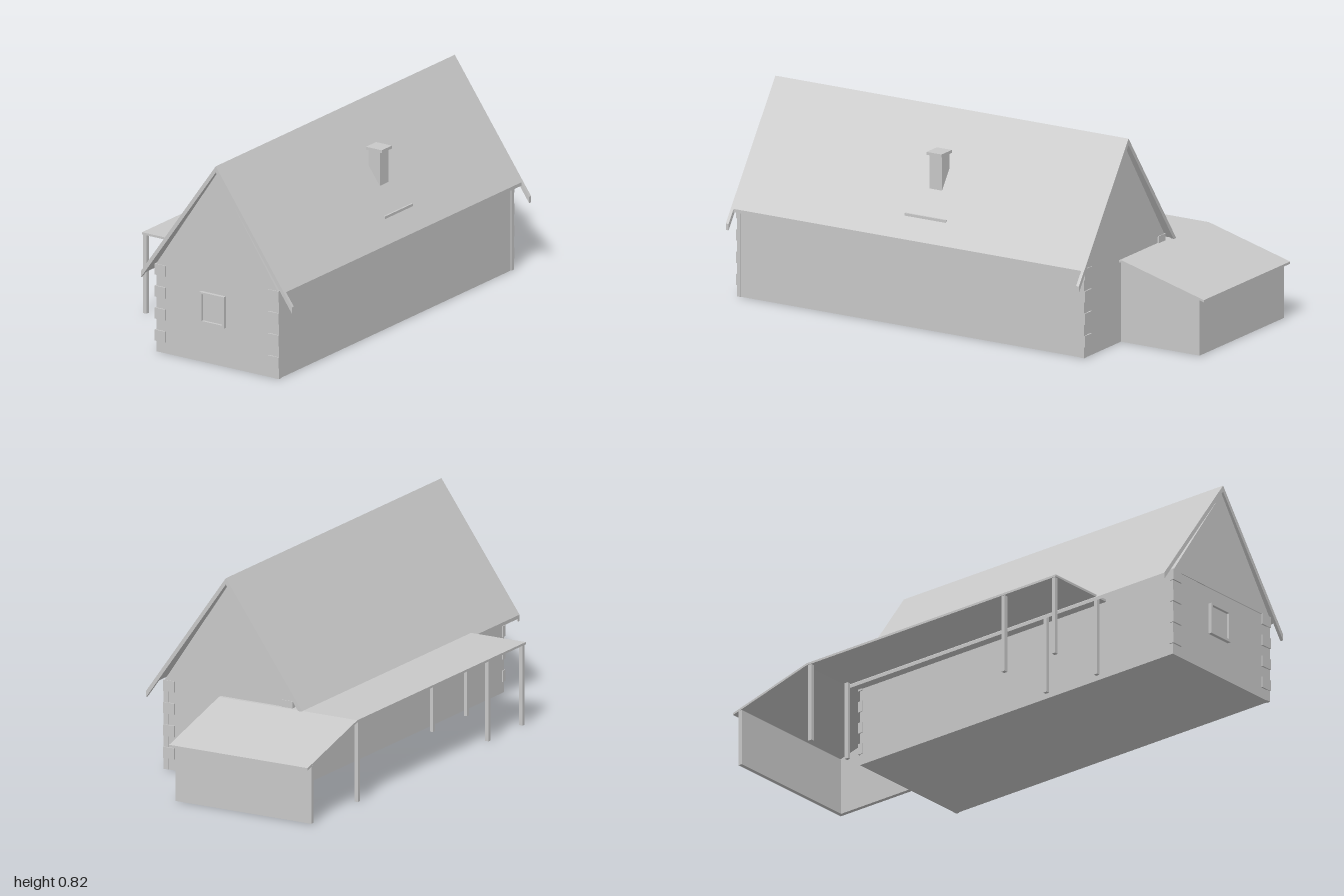
import * as THREE from 'three';

const grey = new THREE.MeshStandardMaterial({ color: 0xc8c8c8 });
grey.name = 'plain grey';

export function createModel() {
  const house = new THREE.Group();
  house.name = 'house';

  const add = (name, geometry) => {
    const mesh = new THREE.Mesh(geometry, grey);
    mesh.name = name;
    house.add(mesh);
    return mesh;
  };
  // Box given by its limits on each axis
  const box = (name, x0, x1, y0, y1, z0, z1) => {
    const mesh = add(name, new THREE.BoxGeometry(x1 - x0, y1 - y0, z1 - z0));
    mesh.position.set((x0 + x1) / 2, (y0 + y1) / 2, (z0 + z1) / 2);
    return mesh;
  };
  // Outline in x,y pushed along z
  const prism = (name, points, z0, z1) => {
    const shape = new THREE.Shape(points.map(([x, y]) => new THREE.Vector2(x, y)));
    const g = new THREE.ExtrudeGeometry(shape, { depth: z1 - z0, bevelEnabled: false });
    g.translate(0, 0, z0);
    return add(name, g);
  };
  // Outline in z,y pushed along x
  const sidePrism = (name, points, x0, x1) => {
    const shape = new THREE.Shape(points.map(([z, y]) => new THREE.Vector2(-z, y)));
    const g = new THREE.ExtrudeGeometry(shape, { depth: x1 - x0, bevelEnabled: false });
    g.rotateY(Math.PI / 2);
    g.translate(x0, 0, 0);
    return add(name, g);
  };

  const ridgeX = 0.115, ridgeY = 0.822, slope = 1.41;
  const left = -0.175, right = 0.405, front = 0.985, back = -0.61, eave = 0.36;

  // Walls and gables
  box('walls', left, right, 0, eave, back, front);
  const gable = [[left, eave], [right, eave], [ridgeX, 0.79]];
  prism('frontGable', gable, front - 0.02, front + 0.003);
  prism('backGable', gable, back - 0.003, back + 0.02);

  // Bent roof slab following both slopes
  const roofY = (x) => ridgeY - Math.abs(x - ridgeX) * slope;
  const roofBand = (name, x0, x1, t, z0, z1) => prism(name, [
    [x0, roofY(x0)], [x0, roofY(x0) - t], [ridgeX, ridgeY - t],
    [x1, roofY(x1) - t], [x1, roofY(x1)], [ridgeX, ridgeY],
  ], z0, z1);
  roofBand('roof', -0.24, 0.44, 0.014, -0.625, 0.99);
  roofBand('frontBargeboards', -0.24, 0.477, 0.026, 0.983, 0.996);
  roofBand('backBargeboards', -0.24, 0.477, 0.026, -0.631, -0.618);

  // Interlocking log ends at the four corners
  for (const sx of [-1, 1]) {
    for (const sz of [-1, 1]) {
      const x = sx < 0 ? left - 0.004 : right + 0.004;
      const z = sz < 0 ? back - 0.006 : front + 0.006;
      for (let i = 0; i < 8; i++) {
        const long = i % 2 === 1;
        const y = i * 0.0453;
        if (!long && sx < 0) continue;
        const xi = x - sx * (long ? 0.05 : 0.02);
        const zi = z - sz * 0.02;
        const zo = long ? z : z - sz * 0.004;
        box('cornerLog', Math.min(x, xi), Math.max(x, xi), y, y + 0.0453,
          Math.min(zo, zi), Math.max(zo, zi));
      }
    }
  }

  // Front window
  box('windowPane', 0.05, 0.15, 0.17, 0.287, front, 0.989);
  box('windowSill', 0.04, 0.156, 0.162, 0.173, front, 1);
  box('windowHead', 0.04, 0.156, 0.284, 0.291, front, 1);
  box('windowJamb', 0.04, 0.05, 0.173, 0.284, front, 1);
  box('windowJamb', 0.147, 0.156, 0.173, 0.284, front, 1);

  // Chimney and snow guard
  box('chimney', 0.258, 0.312, 0.5, 0.683, 0.104, 0.162);
  box('chimneyCap', 0.25, 0.325, 0.683, 0.695, 0.098, 0.167);
  box('snowGuard', 0.375, 0.385, 0.435, 0.452, 0.04, 0.23);

  // Flat side porch roof on posts
  box('porchRoof', -0.48, -0.175, 0.325, 0.334, -0.625, 0.645);
  for (const z of [-0.61, 0.375, 0.632]) {
    box('outerPost', -0.478, -0.462, 0, 0.326, z - 0.008, z + 0.008);
    const x = z < 0 ? -0.251 : -0.218;
    box('innerPost', x - 0.007, x + 0.007, 0, 0.326, z - 0.008, z + 0.008);
  }

  // Lean-to at the back: sloping roof, back wall and one end wall
  sidePrism('leanToRoof',
    [[-0.61, 0.334], [-0.625, 0.334], [-1, 0.233], [-1, 0.224], [-0.625, 0.325], [-0.61, 0.325]],
    -0.48, 0.15);
  box('leanToBackWall', -0.48, 0.137, 0, 0.233, -0.972, -0.955);
  sidePrism('leanToEndWall', [[back, 0], [back, 0.326], [-0.972, 0.232], [-0.972, 0]], 0.12, 0.137);

  return house;
}
